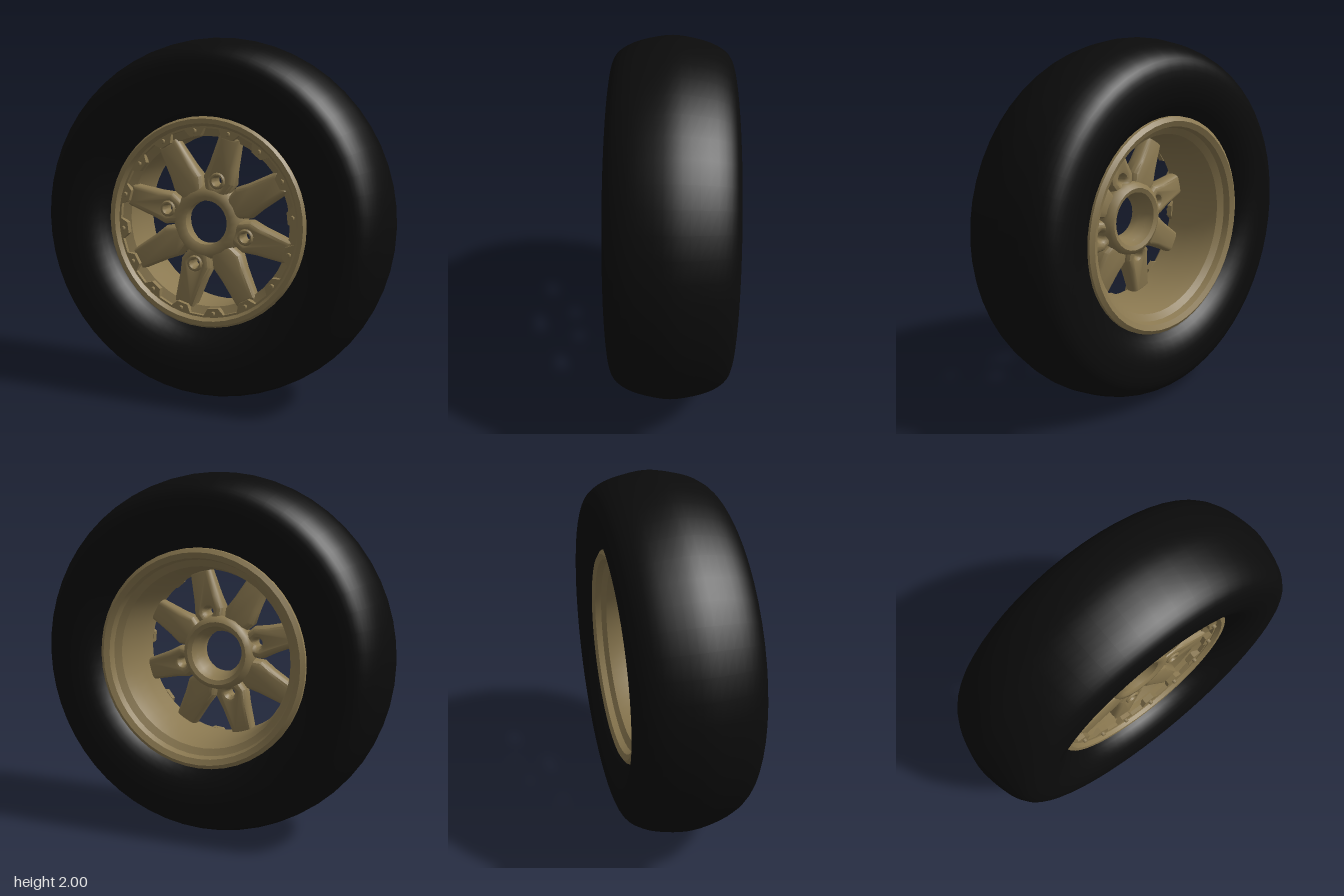
import * as THREE from 'three';
import { toCreasedNormals } from 'three/addons/utils/BufferGeometryUtils.js';

const rubber = new THREE.MeshStandardMaterial({ color: 0x0b0b0b, side: THREE.DoubleSide });
const bronze = new THREE.MeshStandardMaterial({ color: 0x8a7850, side: THREE.DoubleSide });
const PHASE = THREE.MathUtils.degToRad(74); // angle of the first spoke

function add(parent, name, geometry, material = bronze) {
  const mesh = new THREE.Mesh(geometry, material);
  mesh.name = name;
  parent.add(mesh);
  return mesh;
}

// Revolves a closed [radius, z] profile about the wheel axle (z)
function revolve(profile, segments = 48, crease = 0.6) {
  const points = [...profile, profile[0]].map(([r, z]) => new THREE.Vector2(r, z));
  const geometry = new THREE.LatheGeometry(points, segments).rotateX(Math.PI / 2);
  return toCreasedNormals(geometry, crease);
}

// Tapered spoke along +x, bevelled to a roof-like section; lug spokes are drilled
function spokeGeometry(drilled) {
  const shape = new THREE.Shape([
    [0.135, -0.05], [0.24, -0.094], [0.32, -0.08], [0.495, -0.064],
    [0.495, 0.064], [0.32, 0.08], [0.24, 0.094], [0.135, 0.05],
  ].map(([x, y]) => new THREE.Vector2(x, y)));
  if (drilled) shape.holes.push(new THREE.Path().absarc(0.24, 0, 0.022, 0, Math.PI * 2, true));
  const geometry = new THREE.ExtrudeGeometry(shape, {
    depth: 0.03, bevelThickness: 0.045, bevelSize: 0.03, bevelOffset: -0.03,
    bevelSegments: 3, curveSegments: 10,
  }).translate(0, 0, 0.075);
  // Thin the back of the spoke towards the rim
  const pos = geometry.attributes.position;
  for (let i = 0; i < pos.count; i++) {
    const t = THREE.MathUtils.clamp((pos.getX(i) - 0.2) / 0.3, 0, 1);
    const z = pos.getZ(i);
    pos.setZ(i, 0.15 - (0.15 - z) * (1 - 0.3 * t));
  }
  return toCreasedNormals(geometry, 0.6);
}

// Plate whose inner edge steps in to a tab at each of the 16 bolts
function scallopedPlate() {
  const shape = new THREE.Shape().absarc(0, 0, 0.54, 0, Math.PI * 2, false);
  const edge = [];
  for (let i = 0; i < 16; i++) {
    for (const [offset, r] of [[-0.115, 0.515], [-0.065, 0.475], [0.065, 0.475], [0.115, 0.515]]) {
      const a = PHASE + i * Math.PI / 8 + offset;
      edge.push(new THREE.Vector2(r * Math.cos(a), r * Math.sin(a)));
    }
  }
  shape.holes.push(new THREE.Path(edge));
  return new THREE.ExtrudeGeometry(shape, { depth: 0.035, bevelEnabled: false, curveSegments: 48 })
    .translate(0, 0, 0.14);
}

export function createModel() {
  const model = new THREE.Group();
  model.name = 'wheel';
  const wheel = new THREE.Group();
  wheel.name = 'wheelAssembly';
  wheel.position.y = 1;
  wheel.rotation.set(-0.01, 0.012, 0); // slight lean of the axle
  model.add(wheel);

  // Tyre: rounded shoulders and a gently crowned tread
  const half = [[0.575, 0.17], [0.6, 0.235], [0.66, 0.29], [0.74, 0.318], [0.83, 0.32],
    [0.885, 0.306], [0.925, 0.27], [0.962, 0.2], [0.988, 0.1]];
  const section = new THREE.SplineCurve([
    ...half.map(([r, z]) => new THREE.Vector2(r, -z)),
    new THREE.Vector2(1, 0),
    ...half.slice().reverse().map(([r, z]) => new THREE.Vector2(r, z)),
  ]).getPoints(44).map((p) => [p.x, p.y]);
  add(wheel, 'tyre', revolve(section, 56, 1.0), rubber);

  // Rim: deep barrel with a flared back lip
  add(wheel, 'barrel', revolve([
    [0.575, -0.265], [0.598, -0.25], [0.6, -0.22], [0.57, -0.19], [0.535, -0.12], [0.52, 0.06],
    [0.55, 0.15], [0.53, 0.16], [0.472, 0.13], [0.474, 0], [0.482, -0.12],
    [0.5, -0.19], [0.535, -0.215], [0.545, -0.25],
  ]));

  // Front clamping ring and its tabbed plate
  add(wheel, 'clampRing', revolve([
    [0.53, 0.13], [0.575, 0.13], [0.578, 0.185], [0.565, 0.202], [0.54, 0.202], [0.525, 0.18],
  ]));
  add(wheel, 'boltPlate', scallopedPlate());

  // Ring bolts
  const boltGeometry = new THREE.CylinderGeometry(0.012, 0.014, 0.02, 6).rotateX(Math.PI / 2);
  for (let i = 0; i < 16; i++) {
    const a = PHASE + i * Math.PI / 8;
    add(wheel, 'ringBolt', boltGeometry)
      .position.set(0.502 * Math.cos(a), 0.502 * Math.sin(a), 0.183);
  }

  // Hub: open centre, with a collar projecting to the back
  add(wheel, 'hub', revolve([
    [0.155, 0.005], [0.18, -0.005], [0.205, 0.01], [0.213, 0.05], [0.205, 0.12],
    [0.18, 0.153], [0.145, 0.158], [0.122, 0.145], [0.12, 0.09], [0.142, 0.05],
  ], 24, 0.9));

  // Eight spokes; every other one carries a lug hole with a raised seat
  const plain = spokeGeometry(false);
  const drilled = spokeGeometry(true);
  const seat = revolve([[0.022, 0.08], [0.046, 0.08], [0.046, 0.15], [0.038, 0.158],
    [0.03, 0.158], [0.022, 0.135]], 16);
  for (let i = 0; i < 8; i++) {
    const spoke = new THREE.Group();
    spoke.name = 'spoke';
    spoke.rotation.z = PHASE + i * Math.PI / 4;
    wheel.add(spoke);
    add(spoke, 'spokeArm', i % 2 ? plain : drilled);
    if (i % 2 === 0) add(spoke, 'lugSeat', seat).position.x = 0.24;
  }
  return model;
}
